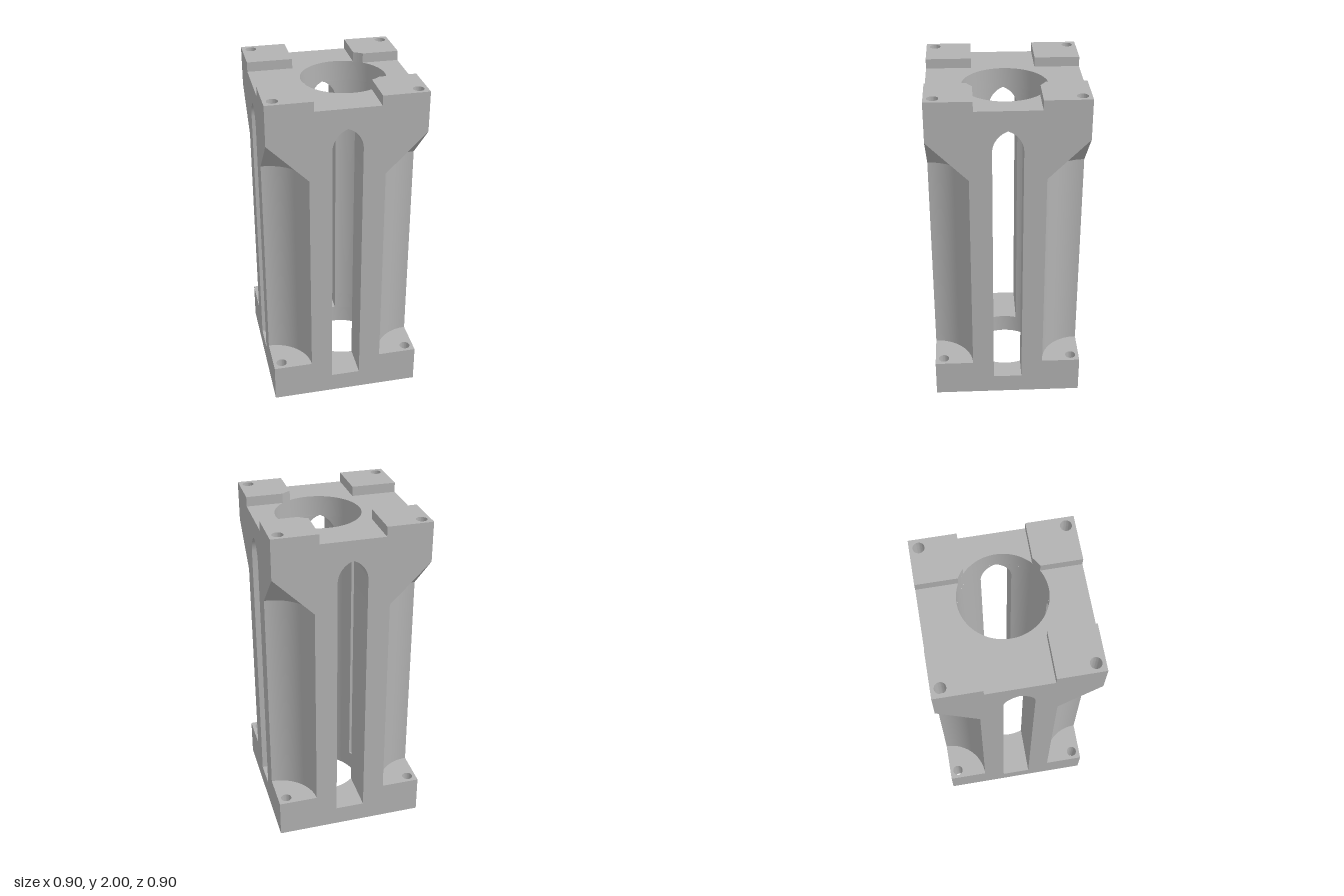
import * as THREE from 'three';
import { toCreasedNormals } from 'three/addons/utils/BufferGeometryUtils.js';

const H = 0.452;                              // half width of the block
const BORE = { x: 0.075, r: 0.248 };          // off-centre main bore
const BOLT = { at: 0.4, r: 0.032 };
const SLOT = { w: 0.0875, bottom: 0.12, spring: 1.70, top: 1.825 };
const RELIEF = { r: 0.235, bottom: 0.235, top: 1.765 };   // corner cut with a conical top
const PAD = { w: 0.187, bottom: 1.943, top: 2 };

const material = new THREE.MeshStandardMaterial({ color: 0xb2b2b2 });
material.name = 'grey';

// Outline of one quadrant: inner edges at w, corner relief of radius r, bore arc inside.
// Coordinates are distances (u, v) from the centre along x and z.
function quadrant(sx, w, r) {
  const pts = [[w, H]];
  const n = 20;
  for (let i = 0; i <= n; i++) {
    const a = Math.PI * (1 + i / n / 2);
    pts.push([H + r * Math.cos(a), H + r * Math.sin(a)]);
  }
  pts.push([H, w]);
  const u0 = sx * BORE.x;
  if (u0 + Math.sqrt(BORE.r ** 2 - w * w) <= w) {
    pts.push([w, w]);
  } else {
    const a0 = Math.asin(w / BORE.r), a1 = Math.acos((w - u0) / BORE.r);
    for (let i = 0; i <= n; i++) {
      const a = a0 + (a1 - a0) * i / n;
      pts.push([u0 + BORE.r * Math.cos(a), BORE.r * Math.sin(a)]);
    }
  }
  return pts;
}

function circle(x, y, r, n) {
  const pts = [];
  for (let i = 0; i < n; i++) {
    const a = 2 * Math.PI * i / n;
    pts.push(new THREE.Vector2(x + r * Math.cos(a), y + r * Math.sin(a)));
  }
  return new THREE.Path(pts);
}

// Upright plate from a plan shape, between two heights
function plate(name, shape, y0, y1) {
  const geo = new THREE.ExtrudeGeometry(shape, { depth: y1 - y0, bevelEnabled: false });
  geo.rotateX(-Math.PI / 2).translate(0, y0, 0);
  const mesh = new THREE.Mesh(toCreasedNormals(geo, 0.5), material);
  mesh.name = name;
  return mesh;
}

function squarePlate(name, y0, y1) {
  const shape = new THREE.Shape([[-H, -H], [H, -H], [H, H], [-H, H]].map(p => new THREE.Vector2(...p)));
  shape.holes.push(circle(BORE.x, 0, BORE.r, 96));
  for (const sx of [-1, 1]) for (const sz of [-1, 1])
    shape.holes.push(circle(sx * BOLT.at, sz * BOLT.at, BOLT.r, 32));
  return plate(name, shape, y0, y1);
}

function cornerPlate(name, sx, sz, w, y0, y1) {
  const pts = quadrant(sx, w, 0)
    .filter((p, i, all) => i === 0 || Math.hypot(p[0] - all[i - 1][0], p[1] - all[i - 1][1]) > 1e-6)
    .map(([u, v]) => new THREE.Vector2(sx * u, -sz * v));
  const shape = new THREE.Shape(pts);
  shape.holes.push(circle(sx * BOLT.at, -sz * BOLT.at, BOLT.r, 32));
  return plate(name, shape, y0, y1);
}

// Half width of the pointed slot at height y
function slotHalfWidth(y) {
  if (y <= SLOT.spring) return SLOT.w;
  const h = SLOT.top - SLOT.spring;
  const R = (SLOT.w ** 2 + h * h) / (2 * SLOT.w);
  return Math.max(0, SLOT.w - R + Math.sqrt(R * R - (y - SLOT.spring) ** 2));
}

// Post walls lofted through horizontal cross-sections
function post(sx, sz) {
  const levels = [RELIEF.bottom, RELIEF.top - RELIEF.r, SLOT.spring];
  for (let i = 1; i <= 14; i++) levels.push(SLOT.spring + (SLOT.top - SLOT.spring) * i / 14);
  levels.push(RELIEF.top);
  levels.sort((a, b) => a - b);
  const rings = levels.map(y => {
    const r = THREE.MathUtils.clamp(RELIEF.top - y, 0, RELIEF.r);
    return quadrant(sx, slotHalfWidth(y), r).map(([u, v]) => new THREE.Vector3(sx * u, y, sz * v));
  });
  const pos = [];
  const tri = new THREE.Triangle();
  const add = (a, b, c) => {
    if (sx * sz < 0) [b, c] = [c, b];
    if (tri.set(a, b, c).getArea() > 1e-9) for (const p of [a, b, c]) pos.push(p.x, p.y, p.z);
  };
  for (let k = 0; k + 1 < rings.length; k++) {
    const lo = rings[k], hi = rings[k + 1];
    for (let i = 0; i < lo.length; i++) {
      const j = (i + 1) % lo.length;
      add(lo[i], lo[j], hi[j]);
      add(lo[i], hi[j], hi[i]);
    }
  }
  const geo = new THREE.BufferGeometry();
  geo.setAttribute('position', new THREE.Float32BufferAttribute(pos, 3));
  const mesh = new THREE.Mesh(toCreasedNormals(geo, 0.5), material);
  mesh.name = 'post';
  return mesh;
}

export function createModel() {
  const model = new THREE.Group();
  model.name = 'boredColumnBlock';
  model.add(squarePlate('base', 0, SLOT.bottom));
  model.add(squarePlate('head', SLOT.top, PAD.bottom));
  for (const sx of [-1, 1]) for (const sz of [-1, 1]) {
    model.add(cornerPlate('baseFlange', sx, sz, SLOT.w, SLOT.bottom, RELIEF.bottom));
    model.add(post(sx, sz));
    model.add(cornerPlate('topPad', sx, sz, PAD.w, PAD.bottom, PAD.top));
    // floor of the blind bolt hole
    const floor = new THREE.Mesh(new THREE.CircleGeometry(BOLT.r, 32).rotateX(-Math.PI / 2), material);
    floor.name = 'boltHoleFloor';
    floor.position.set(sx * BOLT.at, SLOT.top, sz * BOLT.at);
    model.add(floor);
  }
  return model;
}
